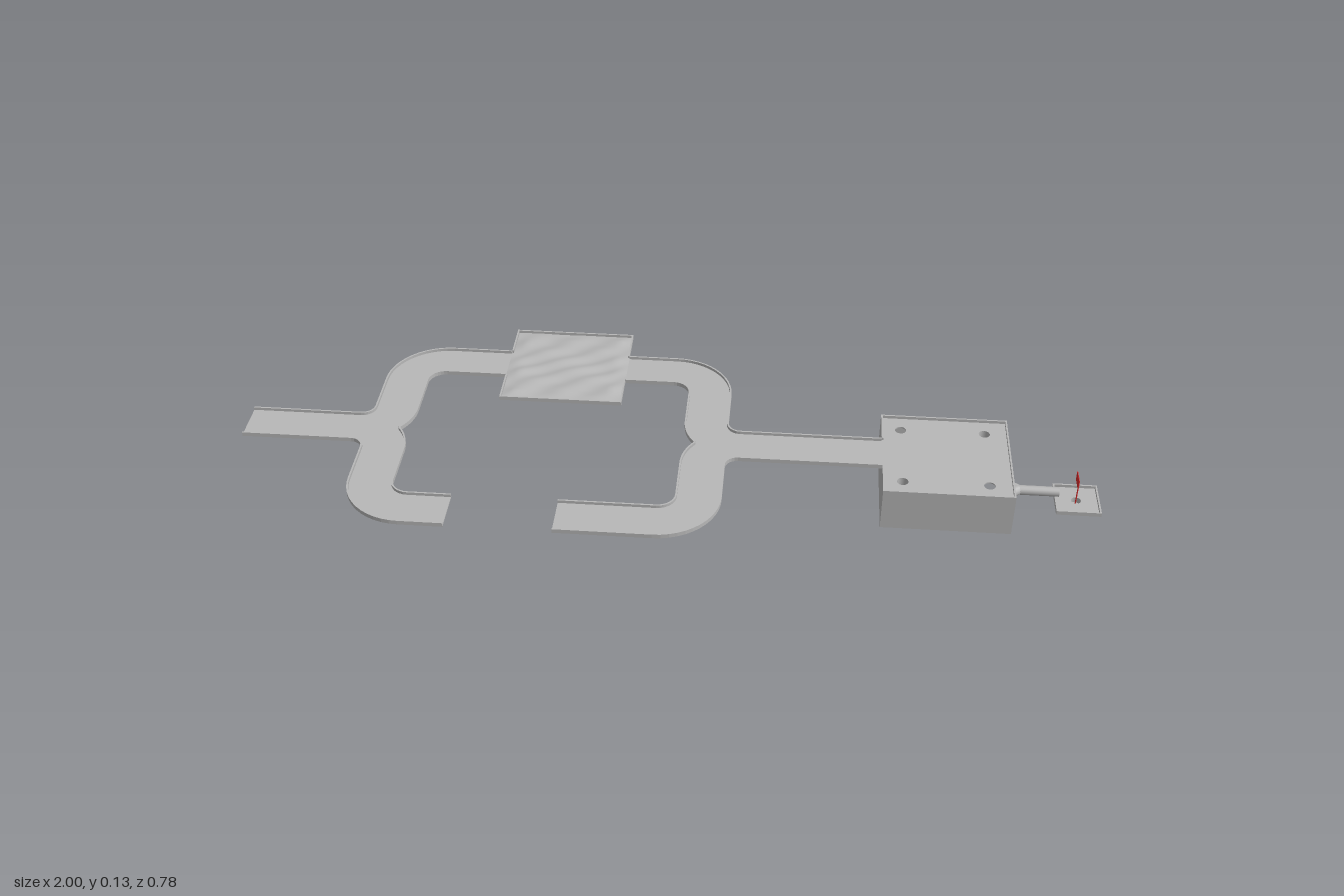
import * as THREE from 'three';

const grey = new THREE.MeshStandardMaterial({ color: 0xb8b8b8 });
grey.name = 'course grey';
grey.side = THREE.DoubleSide;
const red = new THREE.MeshStandardMaterial({ color: 0xd82c2c });
red.name = 'flag red';
red.side = THREE.DoubleSide;

const CZ = 0.047;                 // centre line of the course
const HALF = 0.052;               // half lane width
const BASE = 0.12, FLOOR = 0.123, RIM = 0.13;
const WALL = 0.004;

function add(parent, name, geometry, material = grey) {
  const m = new THREE.Mesh(geometry, material);
  m.name = name;
  parent.add(m);
  return m;
}

// flat slab from [x, z] points, with optional round holes [x, z, r]
function slab(points, y0, y1, holes = []) {
  const shape = new THREE.Shape(points.map(([x, z]) => new THREE.Vector2(x, -z)));
  for (const [x, z, r] of holes) {
    shape.holes.push(new THREE.Path().absarc(x, -z, r, 0, Math.PI * 2, true));
  }
  return new THREE.ExtrudeGeometry(shape, { depth: y1 - y0, bevelEnabled: false, curveSegments: 10 })
    .rotateX(-Math.PI / 2).translate(0, y0, 0);
}

// thin wall following a line of [x, z] points
function rail(points, y0 = BASE, y1 = RIM) {
  const side = (s) => points.map((p, i) => {
    const a = points[Math.max(i - 1, 0)], b = points[Math.min(i + 1, points.length - 1)];
    const d1 = new THREE.Vector2(p[0] - a[0], p[1] - a[1]).normalize();
    const d2 = new THREE.Vector2(b[0] - p[0], b[1] - p[1]).normalize();
    const d = d1.clone().add(d2).normalize();
    const miter = (s * WALL / 2) / Math.max(0.5, d.dot(d2.lengthSq() ? d2 : d1));
    return [p[0] - d.y * miter, p[1] + d.x * miter];
  });
  return slab([...side(1), ...side(-1).reverse()], y0, y1);
}

function arc(cx, cz, r, a0, a1, n = 8) {
  return Array.from({ length: n + 1 }, (_, i) => {
    const a = a0 + (a1 - a0) * i / n;
    return [cx + r * Math.cos(a), cz + r * Math.sin(a)];
  });
}

const rect = (x0, x1, z0, z1) => [[x0, z0], [x1, z0], [x1, z1], [x0, z1]];

// one arm of a fork: stem, fillet, cross lane, corner, end lane
function forkArm(parent, name, x0, dir, sz, uStart, uEnd) {
  const f = 0.03, c = 0.091, reach = 0.289, h = HALF - WALL / 2;
  const R = f + 2 * h;
  const fx = -h - f, fz = -h - f;
  const cusp = Math.asin((h + f) / R);
  const place = ([u, w]) => [x0 + dir * u, CZ + sz * w];
  const outer = [
    [uStart, -h], ...arc(fx, fz, f, Math.PI / 2, 0, 6),
    ...arc(c, c - reach, c + h, Math.PI, Math.PI * 1.5, 12), [uEnd, -reach - h],
  ].map(place);
  const inner = [
    ...arc(fx, fz, R, cusp, 0),
    ...arc(c, c - reach, c - h, Math.PI, Math.PI * 1.5), [uEnd, -reach + h],
  ].map(place);
  add(parent, name + 'Floor', slab([place([uStart, 0]), ...outer, ...inner.slice().reverse()], BASE, FLOOR));
  add(parent, name + 'OuterRail', rail(outer));
  add(parent, name + 'InnerRail', rail(inner));
}

// square patch with a bumpy surface, open where the lanes enter
function buildHills() {
  const g = new THREE.Group();
  g.name = 'hillPatch';
  const x0 = -0.425, x1 = -0.13, z0 = -0.389, z1 = -0.095, zc = CZ - 0.289;
  add(g, 'hillBase', slab(rect(x0, x1, z0, z1), BASE, BASE + 0.002));
  const geo = new THREE.PlaneGeometry(x1 - x0, z1 - z0, 28, 28).rotateX(-Math.PI / 2);
  const p = geo.attributes.position;
  for (let i = 0; i < p.count; i++) {
    const x = p.getX(i), z = p.getZ(i);
    const edge = Math.min(1, (0.1475 - Math.max(Math.abs(x), Math.abs(z))) / 0.03);
    const wave = Math.sin(x * 48 + 2 * Math.sin(z * 22)) * Math.sin(z * 75 + x * 9);
    p.setY(i, FLOOR + edge * (0.003 + 0.004 * wave));
  }
  geo.computeVertexNormals();
  add(g, 'hillSurface', geo.translate((x0 + x1) / 2, 0, (z0 + z1) / 2));
  const a = x0 + WALL / 2, b = x1 - WALL / 2, near = z1 - WALL / 2, far = z0 + WALL / 2;
  add(g, 'hillBackRail', rail([[a, zc - HALF], [a, far], [b, far], [b, zc - HALF]]));
  add(g, 'hillFrontRail', rail([[a, zc + HALF], [a, near], [b, near], [b, zc + HALF]]));
  return g;
}

// raised box with four holes, two of which feed pipes
function buildHoleBox() {
  const g = new THREE.Group();
  g.name = 'holeBox';
  const x0 = 0.49, x1 = 0.785, z0 = -0.097, z1 = 0.194, low = 0.025;
  const holes = [];
  for (const x of [0.535, 0.73]) for (const z of [-0.048, 0.147]) holes.push([x, z, 0.013]);
  add(g, 'boxDeck', slab(rect(x0, x1, z0, z1), BASE, FLOOR, holes));
  add(g, 'boxBackWall', slab(rect(x0, x1, z0, z0 + WALL), low, RIM));
  add(g, 'boxFrontWall', slab(rect(x0, x1, z1 - WALL, z1), low, RIM));
  add(g, 'boxEntryWall', slab(rect(x0, x0 + WALL, z0, z1), low, BASE));
  add(g, 'boxEntryRailBack', slab(rect(x0, x0 + WALL, z0, CZ - HALF), BASE, RIM));
  add(g, 'boxEntryRailFront', slab(rect(x0, x0 + WALL, CZ + HALF, z1), BASE, RIM));
  add(g, 'boxExitWall', slab(rect(x1 - WALL, x1, z0, z1), 0.052, RIM));

  const pipe = (name, pts) => add(g, name, new THREE.TubeGeometry(
    new THREE.CatmullRomCurve3(pts.map((q) => new THREE.Vector3(...q)), false, 'centripetal'),
    40, 0.0125, 12));
  pipe('frontPipe', [[0.535, 0.121, 0.147], [0.535, 0.065, 0.147], [0.543, 0.045, 0.147],
    [0.565, 0.038, 0.147], [0.67, 0.038, 0.135], [0.75, 0.038, 0.09], [0.81, 0.038, CZ]]);
  pipe('backPipe', [[0.73, 0.121, -0.048], [0.73, 0.065, -0.048], [0.732, 0.045, -0.042],
    [0.737, 0.038, -0.025], [0.765, 0.038, 0.015], [0.81, 0.038, CZ]]);
  add(g, 'exitPipe', new THREE.CylinderGeometry(0.0115, 0.0115, 0.105, 16, 1, true)
    .rotateZ(Math.PI / 2).translate(0.8525, 0.038, CZ));
  return g;
}

// lower green with cup and flag
function buildGreen() {
  const g = new THREE.Group();
  g.name = 'green';
  const x0 = 0.897, x1 = 1, z0 = CZ - HALF, z1 = CZ + HALF, fx = 0.947;
  add(g, 'greenFloor', slab(rect(x0, x1, z0, z1), 0.012, 0.015, [[fx, CZ, 0.0115]]));
  const e = WALL / 2;
  add(g, 'greenRail', rail([[x0, z0 + e], [x1 - e, z0 + e], [x1 - e, z1 - e], [x0, z1 - e]], 0.012, 0.022));
  add(g, 'greenEntryRail', slab(rect(x0, x0 + WALL, z0, z1), 0.012, 0.022));
  add(g, 'cupWall', new THREE.CylinderGeometry(0.0115, 0.0115, 0.0125, 20, 1, true).translate(fx, 0.00625, CZ));
  add(g, 'cupBottom', new THREE.CylinderGeometry(0.0115, 0.0115, 0.001, 20).translate(fx, 0.0005, CZ));
  add(g, 'flagPole', new THREE.CylinderGeometry(0.0015, 0.0015, 0.072, 8).translate(fx, 0.037, CZ), red);
  add(g, 'flag', new THREE.BoxGeometry(0.0015, 0.024, 0.037).translate(fx, 0.061, CZ - 0.0185), red);
  return g;
}

export function createModel() {
  const model = new THREE.Group();
  model.name = 'miniGolfCourse';
  const lanes = new THREE.Group();
  lanes.name = 'lanes';
  model.add(lanes);
  // sz = 1 is the back arm, sz = -1 the front arm with its open gap
  forkArm(lanes, 'startBackArm', -0.661, 1, 1, -0.339, 0.236);
  forkArm(lanes, 'startFrontArm', -0.661, 1, -1, -0.339, 0.191);
  forkArm(lanes, 'endBackArm', 0.08, -1, 1, -0.41, 0.21);
  forkArm(lanes, 'endFrontArm', 0.08, -1, -1, -0.41, 0.31);
  model.add(buildHills(), buildHoleBox(), buildGreen());
  return model;
}
